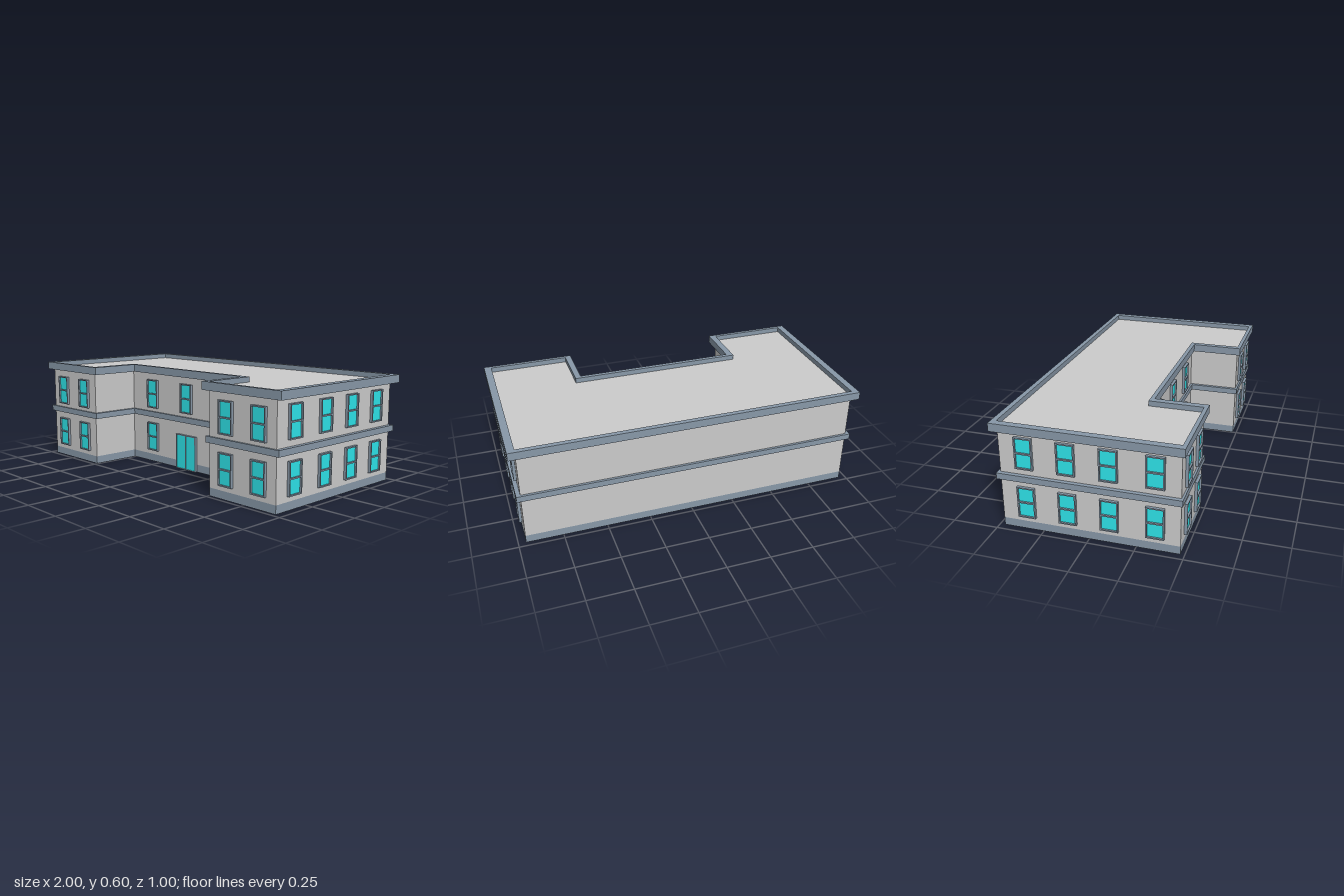
import * as THREE from 'three';

const wallMat = new THREE.MeshStandardMaterial({ color: 0xcccccc });
const trimMat = new THREE.MeshStandardMaterial({ color: 0x8898a8 });
const glassMat = new THREE.MeshStandardMaterial({ color: 0x2ee4ea });

// U-shaped plan: outer x range, outer z range, courtyard x range, courtyard back wall z
const WALL = [-0.96, 0.958, -0.472, 0.478, -0.506, 0.502, 0.18];
const BELT = [-0.983, 0.981, -0.486, 0.489, -0.487, 0.482, 0.192];
const EAVES = [-1, 1, -0.5, 0.5, -0.467, 0.467, 0.204];

function planPoints([x0, x1, z0, z1, cx0, cx1, cz]) {
  return [[x0, z1], [cx0, z1], [cx0, cz], [cx1, cz], [cx1, z1], [x1, z1], [x1, z0], [x0, z0]]
    .map(([x, z]) => new THREE.Vector2(x, -z));
}

// Horizontal storey slice between two heights, optionally a ring around an inner plan
function slab(name, plan, y0, y1, material, inner) {
  const shape = new THREE.Shape(planPoints(plan));
  if (inner) shape.holes.push(new THREE.Path(planPoints(inner)));
  const geo = new THREE.ExtrudeGeometry(shape, { depth: y1 - y0, bevelEnabled: false });
  geo.rotateX(-Math.PI / 2).translate(0, y0, 0);
  const mesh = new THREE.Mesh(geo, material);
  mesh.name = name;
  return mesh;
}

function rect(Type, x0, y0, x1, y1) {
  return new Type([[x0, y0], [x1, y0], [x1, y1], [x0, y1]].map(p => new THREE.Vector2(...p)));
}

function part(name, geo, material) {
  const mesh = new THREE.Mesh(geo, material);
  mesh.name = name;
  return mesh;
}

// Frame with rectangular openings, projecting from the wall along +z
function frame(w, h, openings) {
  const shape = rect(THREE.Shape, -w / 2, 0, w / 2, h);
  openings.forEach(o => shape.holes.push(rect(THREE.Path, ...o)));
  return new THREE.ExtrudeGeometry(shape, { depth: 0.016, bevelEnabled: false });
}

// Sash window: two panes, one above the other
const W = 0.096, H = 0.175, B = 0.007;
const windowFrame = frame(W, H, [
  [-W / 2 + B, B, W / 2 - B, H / 2 - 0.004],
  [-W / 2 + B, H / 2 + 0.004, W / 2 - B, H - B]]);
const windowGlass = new THREE.BoxGeometry(W - B, H - B, 0.006).translate(0, H / 2, 0.003);

function makeWindow(name, x, y, z, turn = 0) {
  const g = new THREE.Group();
  g.name = name;
  g.add(part('windowFrame', windowFrame, trimMat), part('windowPanes', windowGlass, glassMat));
  g.position.set(x, y, z);
  g.rotation.y = turn;
  return g;
}

// Double entrance door with two glazed leaves
function makeDoor() {
  const g = new THREE.Group();
  g.name = 'entranceDoor';
  const w = 0.168, h = 0.21, b = 0.005;
  g.add(part('doorFrame', frame(w, h, [
    [-w / 2 + b, b, -0.0015, h - b], [0.0015, b, w / 2 - b, h - b]]), trimMat));
  g.add(part('doorLeaves',
    new THREE.BoxGeometry(w - b, h - b, 0.012).translate(0, h / 2, 0.006), glassMat));
  g.position.z = WALL[6];
  return g;
}

export function createModel() {
  const model = new THREE.Group();
  model.name = 'building';

  // Plinth, walls with flat roof, floor band and parapet
  model.add(
    slab('plinth', WALL, 0, 0.045, trimMat),
    slab('wallsAndRoof', WALL, 0.045, 0.573, wallMat),
    slab('floorBand', BELT, 0.284, 0.318, trimMat, WALL),
    slab('parapet', EAVES, 0.557, 0.602, trimMat, WALL));

  // Front windows on the wings and the courtyard wall
  for (const y of [0.072, 0.341]) {
    for (const x of [-0.843, -0.62, 0.624, 0.848]) {
      model.add(makeWindow('wingWindow', x, y, WALL[3]));
    }
    for (const x of [-0.31, 0, 0.307]) {
      if (x === 0 && y < 0.2) continue;
      model.add(makeWindow('courtyardWindow', x, y, WALL[6]));
    }
  }

  // Side windows
  for (const y of [0.073, 0.353]) {
    for (const z of [0.349, 0.111, -0.111, -0.335]) {
      model.add(makeWindow('leftSideWindow', WALL[1], y, z, Math.PI / 2));
      model.add(makeWindow('rightSideWindow', WALL[0], y, z, -Math.PI / 2));
    }
  }

  model.add(makeDoor());
  return model;
}
